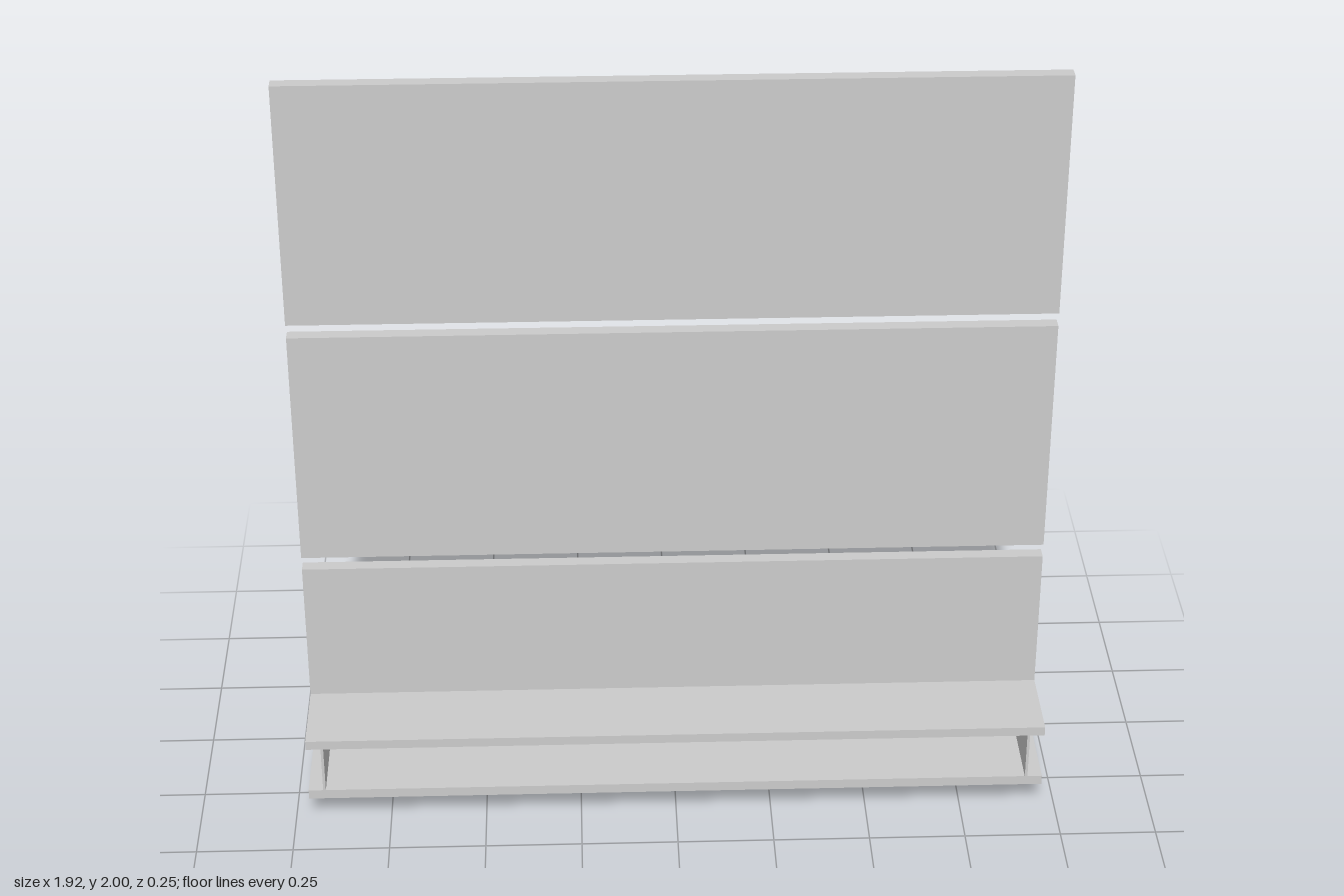
import * as THREE from 'three';

export function createModel() {
  const model = new THREE.Group();
  const material = new THREE.MeshStandardMaterial({ color: 0xcccccc, flatShading: true });

  // Box given by its lower and upper limits on each axis
  const addBox = (name, [x0, x1], [y0, y1], [z0, z1]) => {
    const mesh = new THREE.Mesh(new THREE.BoxGeometry(x1 - x0, y1 - y0, z1 - z0), material);
    mesh.position.set((x0 + x1) / 2, (y0 + y1) / 2, (z0 + z1) / 2);
    mesh.name = name;
    model.add(mesh);
  };

  const halfWidth = 0.962, back = -0.127, wall = -0.092, front = 0.127;
  const width = [-halfWidth, halfWidth];

  // Three wide back panels separated by narrow gaps
  const panelHeight = 0.643, pitch = (2 - panelHeight) / 2;
  ['lowerPanel', 'middlePanel', 'upperPanel'].forEach((name, i) =>
    addBox(name, width, [i * pitch, i * pitch + panelHeight], [back, wall]));

  // Open-fronted shelf: two boards joined by thin inset end plates
  addBox('shelfBottom', width, [0.073, 0.099], [wall, front]);
  addBox('shelfTop', width, [0.229, 0.254], [wall, front]);
  addBox('leftEndPlate', [0.917, 0.924], [0.099, 0.229], [wall, front]);
  addBox('rightEndPlate', [-0.924, -0.917], [0.099, 0.229], [wall, front]);

  return model;
}
